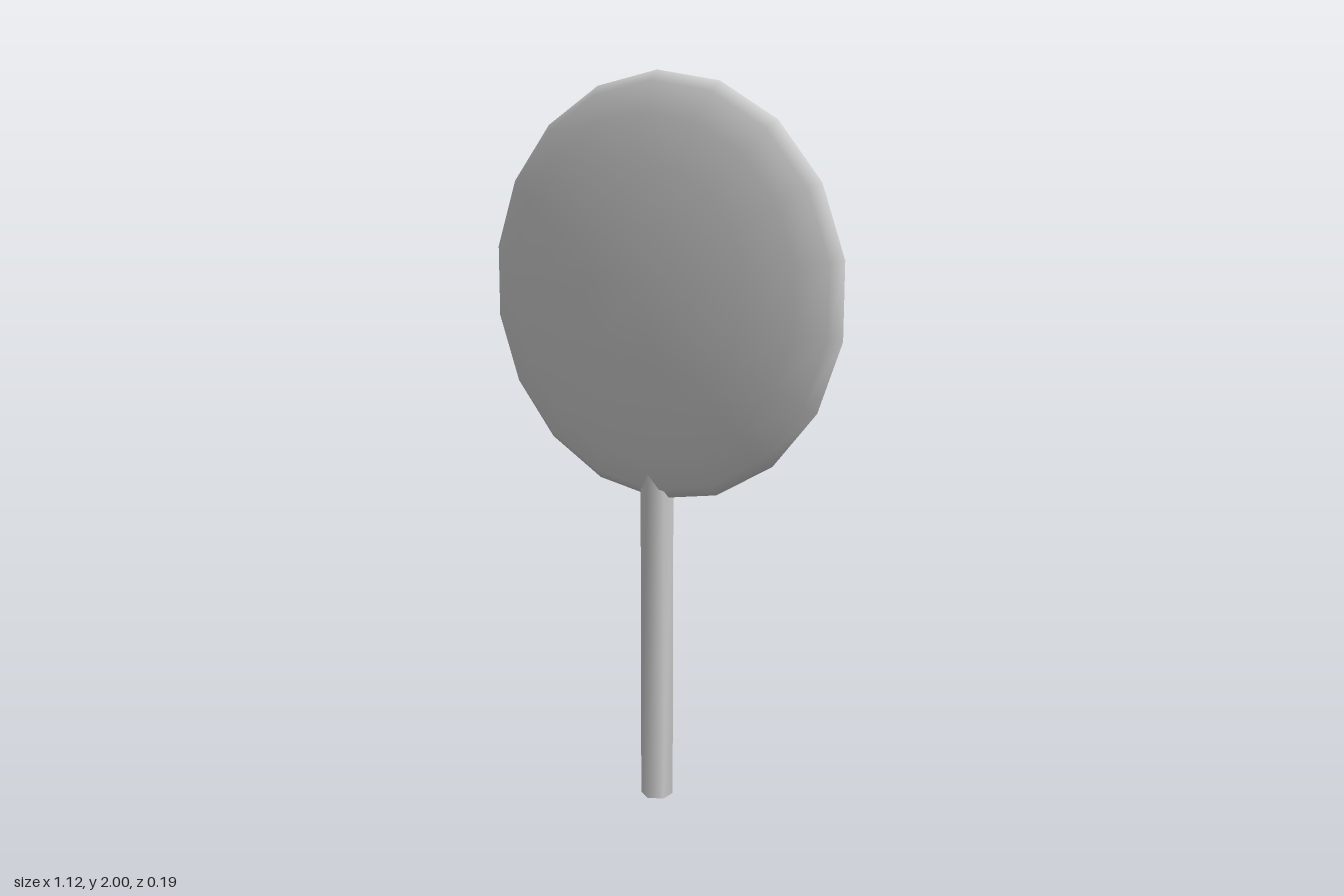
import * as THREE from 'three';
import { mergeVertices } from 'three/addons/utils/BufferGeometryUtils.js';

export function createModel() {
  const group = new THREE.Group();
  const material = new THREE.MeshStandardMaterial({ color: 0xcccccc });

  function add(name, geometry, y) {
    const mesh = new THREE.Mesh(geometry, material);
    mesh.name = name;
    mesh.position.y = y;
    group.add(mesh);
  }

  // Flattened 18-sided ball, poles facing front and back, a corner at the top
  const disc = new THREE.SphereGeometry(1, 18, 10, Math.PI / 2);
  disc.rotateX(Math.PI / 2);
  disc.scale(0.5675, 0.5675, 0.095);
  add('disc', disc, 1.4325);

  // Six-sided stick with smoothed edges, running up into the disc
  let stick = new THREE.CylinderGeometry(0.045, 0.045, 1, 6);
  stick.deleteAttribute('normal');
  stick.deleteAttribute('uv');
  stick = mergeVertices(stick);
  stick.computeVertexNormals();
  add('stick', stick, 0.5);

  return group;
}
